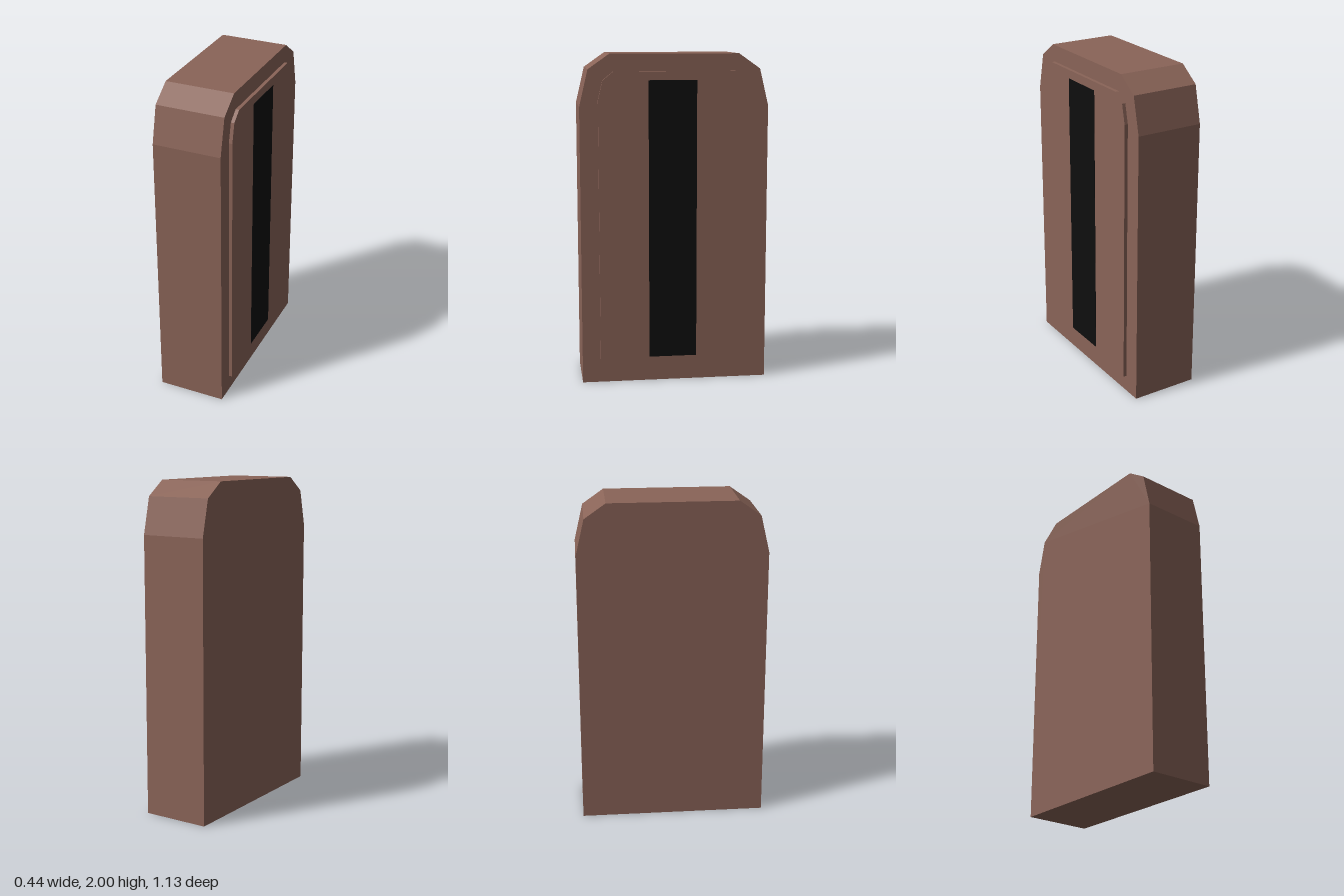
import * as THREE from 'three';

export function createModel() {
  const model = new THREE.Group();
  const brown = new THREE.MeshStandardMaterial({ color: 0x8a6458 });
  brown.name = 'brown';
  const black = new THREE.MeshStandardMaterial({ color: 0x0e0e0e });
  black.name = 'black';

  // Mirrored outline from right-hand points [halfWidth, y], extruded along +x
  function slab(name, half, x0, x1) {
    const left = half.map(([w, y]) => [-w, y]).reverse();
    const shape = new THREE.Shape([...half, ...left].map(([w, y]) => new THREE.Vector2(w, y)));
    const geo = new THREE.ExtrudeGeometry(shape, { depth: x1 - x0, bevelEnabled: false });
    geo.rotateY(Math.PI / 2).translate(x0, 0, 0);
    const mesh = new THREE.Mesh(geo, brown);
    mesh.name = name;
    model.add(mesh);
  }

  // Main body with chamfered top corners
  slab('body', [[0.567, 0], [0.567, 1.69], [0.515, 1.91], [0.387, 2]], -0.219, 0.196);

  // Raised panel on the left side
  slab('raisedPanel', [[0.457, 0.105], [0.457, 1.73], [0.43, 1.845], [0.365, 1.897]], 0.196, 0.217);

  // Dark upright strip on the panel
  const strip = new THREE.Mesh(new THREE.BoxGeometry(0.004, 1.69, 0.29), black);
  strip.name = 'darkStrip';
  strip.position.set(0.217, 1.0, 0.013);
  model.add(strip);

  return model;
}
